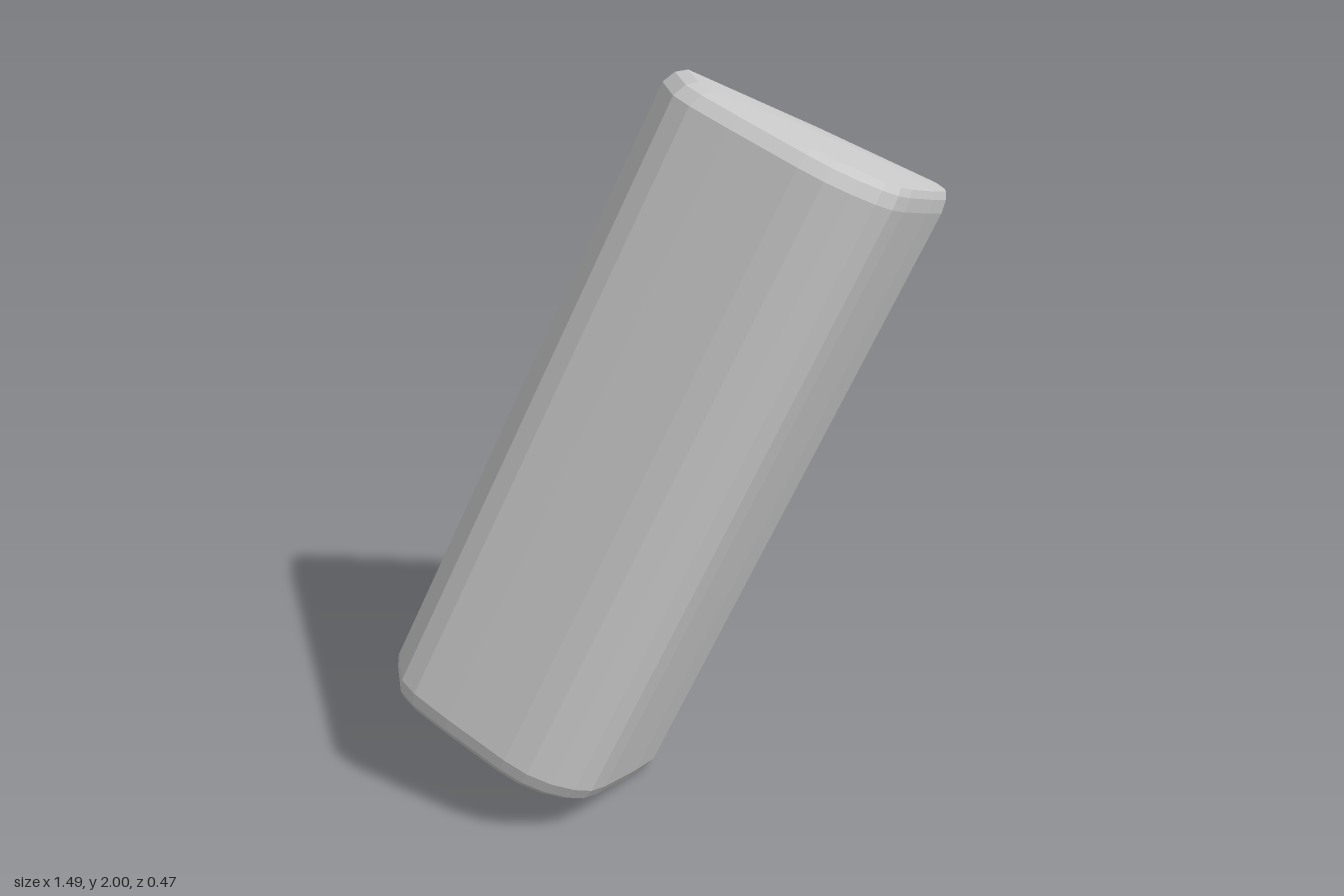
import * as THREE from 'three';

// Cross-section across the block as [across, depth], counter-clockwise seen from its top end
const SECTION = [
  [-0.39, -0.237], [-0.395, -0.1], [-0.365, -0.045], [-0.28, 0.04], [-0.13, 0.175],
  [-0.07, 0.215], [0, 0.234], [0.07, 0.232], [0.125, 0.215], [0.175, 0.175],
  [0.3, 0.05], [0.377, -0.035], [0.39, -0.075], [0.38, -0.12], [0.32, -0.178], [0.01, -0.235],
];
// Stations along the length as [position, scale, centre of scaling, chamfered back corner]
const STATIONS = [
  [-0.94, 0.925, 0, false], [-0.922, 0.97, 0, false], [-0.885, 1, 0, false],
  [0.75, 1, 0, false], [0.885, 1, 0, true], [0.92, 0.97, 0.25, true], [0.938, 0.925, 0.25, true],
];
const BACK = -0.237;

function blockGeometry() {
  const n = SECTION.length;
  const positions = [];
  const index = [];
  // Shrink each ring towards the flat back so the back stays in one plane
  for (const [v, s, centre, chamfered] of STATIONS) {
    for (const [u, z] of SECTION) {
      const onSlope = chamfered && z < -0.12 && u > -0.2;
      const depth = onSlope ? Math.max(z, -0.12 - 0.22 * (0.38 - u)) : z;
      positions.push(centre + (u - centre) * s, v, BACK + (depth - BACK) * s);
    }
  }
  for (let r = 0; r < STATIONS.length - 1; r++) {
    for (let i = 0; i < n; i++) {
      const j = (i + 1) % n;
      const a = r * n + i, b = r * n + j;
      index.push(a, b, b + n, a, b + n, a + n);
    }
  }
  // Slightly domed end caps
  const bottom = positions.length / 3;
  positions.push(-0.02, -0.955, 0, 0.06, 0.957, 0);
  const last = (STATIONS.length - 1) * n;
  for (let i = 0; i < n; i++) {
    const j = (i + 1) % n;
    index.push(bottom, j, i, bottom + 1, last + i, last + j);
  }
  const geometry = new THREE.BufferGeometry();
  geometry.setAttribute('position', new THREE.Float32BufferAttribute(positions, 3));
  geometry.setIndex(index);
  const flat = geometry.toNonIndexed();
  flat.computeVertexNormals();
  return flat;
}

export function createModel() {
  const group = new THREE.Group();
  const stone = new THREE.MeshStandardMaterial({ color: 0xc8c8c8, flatShading: true });
  stone.name = 'stone grey';
  const block = new THREE.Mesh(blockGeometry(), stone);
  block.name = 'stoneBlock';
  // The block leans towards +x
  block.rotation.z = -0.449;
  block.position.y = 1;
  group.add(block);
  return group;
}
